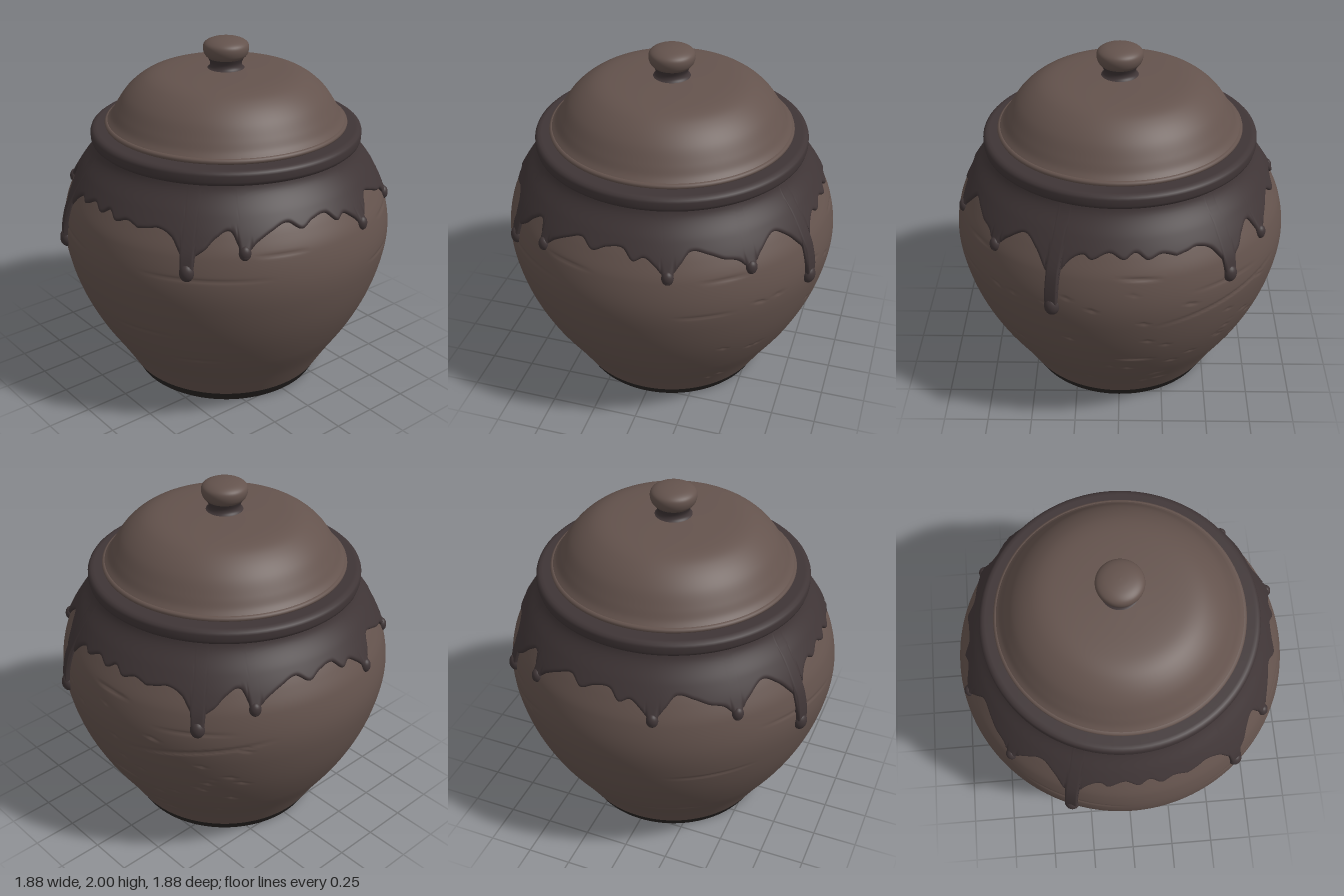
import * as THREE from 'three';
import { mergeVertices } from 'three/addons/utils/BufferGeometryUtils.js';

const RAD = Math.PI / 180;
const mat = (name, color) => {
  const m = new THREE.MeshStandardMaterial({ color });
  m.name = name;
  return m;
};

// Smooth curve through sorted [x, y] points
function smoothAt(pts, x) {
  let i = 0;
  while (i < pts.length - 2 && x > pts[i + 1][0]) i++;
  const slope = (k) => {
    const a = pts[Math.max(k - 1, 0)], b = pts[Math.min(k + 1, pts.length - 1)];
    return (b[1] - a[1]) / (b[0] - a[0]);
  };
  const [x0, y0] = pts[i], [x1, y1] = pts[i + 1], h = x1 - x0;
  const t = THREE.MathUtils.clamp((x - x0) / h, 0, 1), s = 1 - t;
  return y0 * s * s * (1 + 2 * t) + y1 * t * t * (3 - 2 * t)
    + h * t * s * (s * slope(i) - t * slope(i + 1));
}

// Surface around the y axis; rule(theta, v) gives [radius, height], v rising upward
function ringSurface(rows, segs, rule) {
  const pts = Array.from({ length: rows + 1 }, (_, j) => new THREE.Vector2(1, j));
  const geo = new THREE.LatheGeometry(pts, segs);
  const pos = geo.attributes.position;
  for (let k = 0; k < pos.count; k++) {
    const col = Math.floor(k / (rows + 1)) % segs;
    const th = (col / segs) * Math.PI * 2;
    const [r, y] = rule(th, (k % (rows + 1)) / rows);
    pos.setXYZ(k, r * Math.sin(th), y, r * Math.cos(th));
  }
  geo.deleteAttribute('uv');
  geo.deleteAttribute('normal');
  const out = mergeVertices(geo, 1e-6);
  out.computeVertexNormals();
  return out;
}

// Pot wall: height -> radius
const WALL = [[0.07, 0.572], [0.2, 0.65], [0.4, 0.775], [0.6, 0.868], [0.8, 0.924], [0.95, 0.937],
  [1.1, 0.91], [1.2, 0.863], [1.3, 0.8], [1.4, 0.727], [1.47, 0.705]];
const wall = (y) => smoothAt(WALL, y);

// Lower edge of the glaze over half a turn (degrees -> height); it repeats for the other half
const EDGE = [[-70, 1.2], [-66, 1.21], [-62, 1.22], [-57, 1.19], [-52, 1.1], [-46, 1.14], [-42, 1.2],
  [-37, 1.23], [-33, 1.13], [-28, 1.18], [-23, 1.22], [-17, 1.25], [-12, 1.21], [-7, 1.24], [-1, 1.25],
  [3, 1.2], [7, 1.22], [11, 1.18], [15, 1.13], [19, 1.19], [23, 1.25], [29, 1.23], [34, 1.2],
  [39, 1.18], [43.5, 1.13], [48, 1.19], [55, 1.25], [61, 1.2], [65, 1.13], [68.5, 1.06], [71, 1.13],
  [74, 1.19], [78, 1.22], [81, 1.2], [87, 1.235], [92, 1.205], [96, 1.235], [100, 1.2], [105, 1.22], [110, 1.2]];
// Drips: [degrees, tip height, half width]
const DRIPS = [[68.5, 0.88, 0.036], [-51, 0.99, 0.034], [-32.5, 1.1, 0.028], [15, 1.1, 0.028], [43.5, 1.1, 0.028]];

function glazeEdge(theta) {
  const deg = THREE.MathUtils.euclideanModulo(theta / RAD + 70, 180) - 70;
  let y = smoothAt(EDGE, deg);
  for (const [a, tip, w] of DRIPS) {
    const dx = Math.abs(deg - a) * RAD * 0.92;
    if (dx < w) y = Math.min(y, tip + w - Math.sqrt(w * w - dx * dx));
  }
  return y;
}

// Scratches in the clay: [degrees, height, half length, rise per unit length, depth]
const SCRATCHES = [[-50, 0.42, 0.16, 0.06, 0.008], [27, 0.9, 0.16, 0.02, 0.006], [-45, 0.99, 0.35, 0, 0.005],
  [34, 1.1, 0.14, 0.03, 0.007], [-20, 1.11, 0.15, 0, 0.005], [97, 1.11, 0.12, -0.04, 0.009],
  [96, 0.53, 0.12, -0.05, 0.01], [128, 0.88, 0.42, 0.17, 0.011], [128, 1.0, 0.22, 0.02, 0.006],
  [107, 0.31, 0.07, 0.2, 0.009], [110, 0.23, 0.07, 0.05, 0.008], [200, 0.35, 0.3, 0.05, 0.007],
  [215, 0.75, 0.25, 0.06, 0.007], [250, 1.0, 0.3, -0.05, 0.007], [290, 0.6, 0.2, 0.05, 0.006]];
let seed = 11;
const rand = () => (seed = (seed * 16807) % 2147483647) / 2147483647;
for (let i = 0; i < 34; i++) { // small pits
  SCRATCHES.push([35 + rand() * 110, 0.2 + rand() * 0.9, 0.012 + rand() * 0.02, rand() - 0.5, 0.01]);
}

function scratchDepth(theta, y) {
  let d = 0;
  for (const [a, sy, half, rise, depth] of SCRATCHES) {
    const dx = (THREE.MathUtils.euclideanModulo(theta / RAD - a + 180, 360) - 180) * RAD * 0.9;
    const dy = Math.abs(y - sy - rise * dx);
    if (Math.abs(dx) < half && dy < 0.012) {
      d = Math.max(d, depth * (1 - dy / 0.012) * (1 - (dx / half) ** 2));
    }
  }
  return d;
}

export function createModel() {
  const clay = mat('brown clay', 0x64534d);
  const glaze = mat('dark glaze', 0x3f3536);
  const foot = mat('black foot', 0x282423);
  const pot = new THREE.Group();
  pot.name = 'lidded pot';

  const add = (name, geo, material) => {
    const mesh = new THREE.Mesh(geo, material);
    mesh.name = name;
    pot.add(mesh);
    return mesh;
  };
  const lathe = (name, pts, material, segs = 96) =>
    add(name, new THREE.LatheGeometry(pts.map((p) => new THREE.Vector2(p[0], p[1])), segs), material);
  const spline = (pts, n) =>
    new THREE.SplineCurve(pts.map((p) => new THREE.Vector2(...p))).getPoints(n).map((p) => [Math.max(p.x, 0), p.y]);

  // Foot and underside
  lathe('foot', [[0, 0.008], [0.46, 0.006], [0.49, 0], [0.525, 0], [0.54, 0.012], [0.572, 0.07]], foot);

  // Clay belly with scratches
  add('belly', ringSurface(150, 216, (th, v) => {
    const y = 0.07 + 1.38 * v;
    return [wall(y) - scratchDepth(th, y), y];
  }), clay);

  // Glaze coat with a rounded, dripping lower edge
  add('glazeCoat', ringSurface(26, 720, (th, v) => {
    const e = glazeEdge(th), step = 0.006;
    const slope = Math.min(4, Math.abs(glazeEdge(th + step) - glazeEdge(th - step)) / (2 * step * 0.9));
    const y = e + (1.45 - e) * v ** 1.8;
    const d = Math.min(1, (y - e) / Math.hypot(1, slope) / 0.025);
    return [wall(y) - 0.004 + 0.026 * Math.sqrt(1 - (1 - d) ** 2), y];
  }), glaze);

  // Swollen beads at the drip tips, on both halves
  for (const [a, tip, w] of DRIPS) {
    for (const turn of [0, 180]) {
      const r = w * 1.15, y = tip + r, th = (a + turn) * RAD;
      const bead = add('dripBead', new THREE.SphereGeometry(r, 20, 14), glaze);
      bead.position.set(wall(y) * Math.sin(th), y, wall(y) * Math.cos(th));
      bead.rotation.y = th;
      bead.scale.set(1, 1.25, 0.9);
    }
  }

  // Rolled rim
  lathe('rim', [[0.7, 1.4], [0.725, 1.428], [0.745, 1.436], [0.756, 1.446], [0.76, 1.46], [0.76, 1.492],
    [0.755, 1.505], [0.742, 1.514], [0.725, 1.516], [0.6, 1.516]], glaze);

  // Lid with flange and dome
  lathe('lidFlange', [[0.6, 1.518], [0.667, 1.52], [0.677, 1.526], [0.68, 1.535], [0.677, 1.545],
    [0.667, 1.55], [0.63, 1.552]], clay);
  lathe('lidDome', spline([[0.665, 1.549], [0.642, 1.575], [0.612, 1.625], [0.56, 1.7], [0.49, 1.762],
    [0.41, 1.802], [0.3, 1.82], [0.1, 1.83], [0, 1.832]], 48), clay);

  // Knob on a dark neck
  lathe('knobNeck', spline([[0.11, 1.825], [0.093, 1.838], [0.088, 1.86], [0.1, 1.888]], 12), glaze, 48);
  lathe('knob', spline([[0.1, 1.888], [0.118, 1.908], [0.127, 1.94], [0.12, 1.968], [0.09, 1.987],
    [0.045, 1.997], [0, 2]], 28), clay, 48);

  return pot;
}
